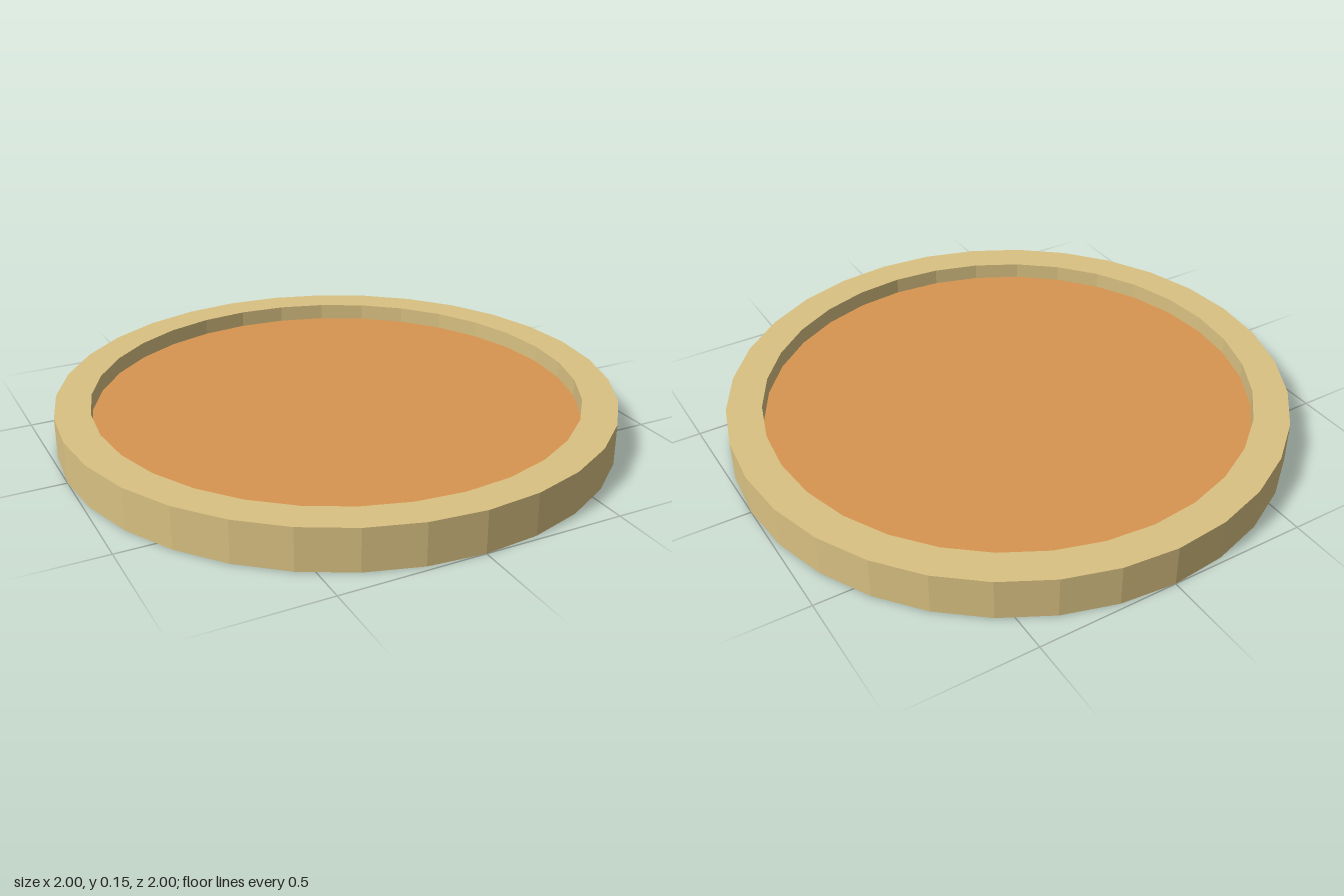
import * as THREE from 'three';

const SIDES = 32;
const RADIUS = 1, HEIGHT = 0.15;
const INNER_RADIUS = 0.875, FLOOR_Y = 0.09;

export function createModel() {
  const model = new THREE.Group();
  model.name = 'roundTray';

  // Shell: underside, outer wall, flat rim and inner wall in one profile
  const profile = [
    [0, 0], [RADIUS, 0], [RADIUS, HEIGHT], [INNER_RADIUS, HEIGHT], [INNER_RADIUS, FLOOR_Y],
  ].map(([r, y]) => new THREE.Vector2(r, y));
  const shell = new THREE.Mesh(
    new THREE.LatheGeometry(profile, SIDES),
    new THREE.MeshStandardMaterial({ color: 0xd9c182, flatShading: true })
  );
  shell.name = 'shell';

  // Recessed floor inside the rim
  const floor = new THREE.Mesh(
    new THREE.CircleGeometry(INNER_RADIUS, SIDES).rotateX(-Math.PI / 2),
    new THREE.MeshStandardMaterial({ color: 0xd89550, flatShading: true })
  );
  floor.name = 'floor';
  floor.position.y = FLOOR_Y;

  model.add(shell, floor);
  return model;
}
